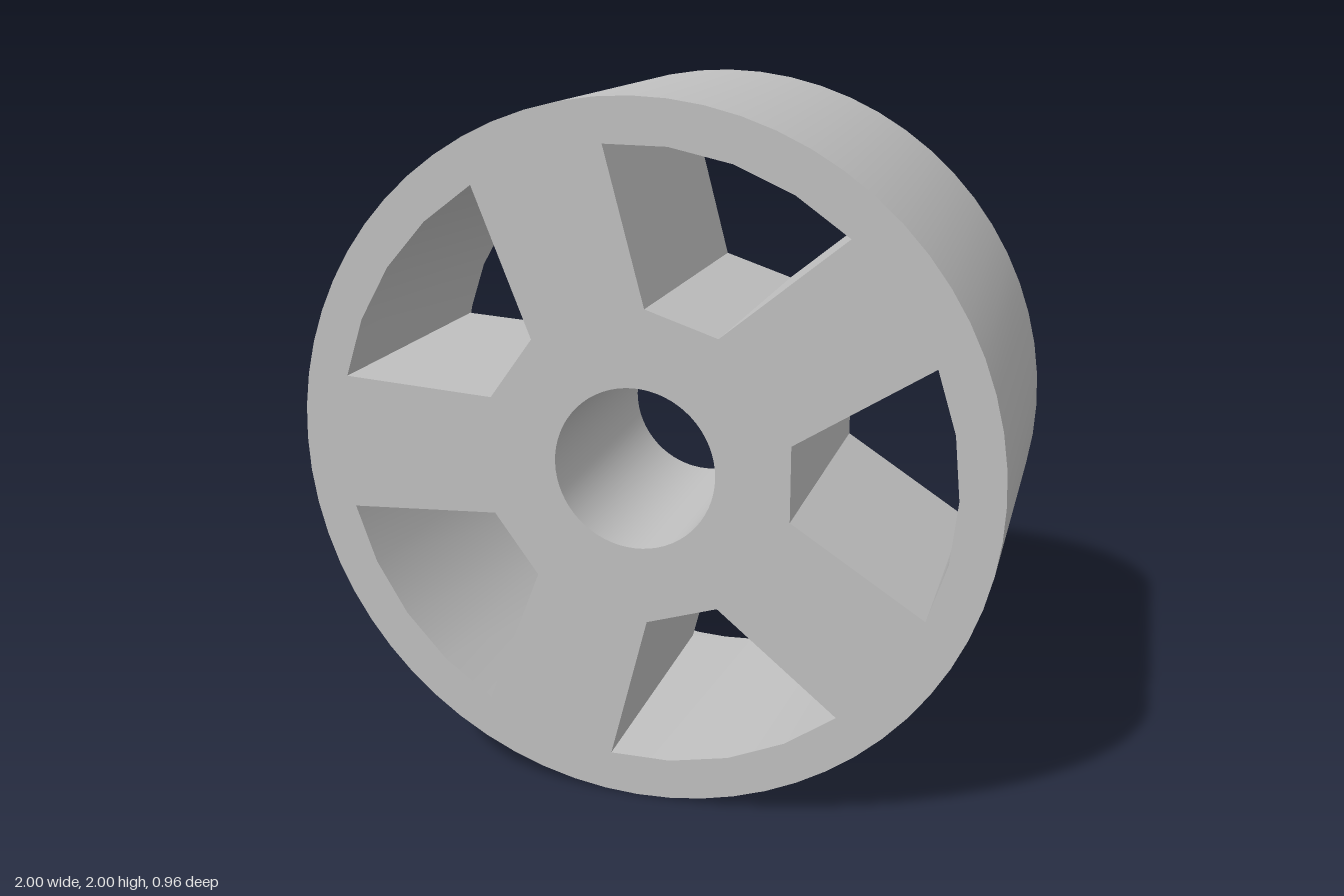
import * as THREE from 'three';
import { toCreasedNormals } from 'three/addons/utils/BufferGeometryUtils.js';

const SEGMENTS = 64;
const SPOKES = 5;
const FRONT = 0.48, BACK = -0.48;     // rim edges
const WEB_BACK = -0.35;               // recessed rear face of the spokes
const SEAT = -0.235;                  // floor of the hub counterbore
const RIM_R = 1, RECESS_R = 0.93, SEAT_R = 0.35, BORE_R = 0.23;

const polar = (r, a) => new THREE.Vector2(r * Math.cos(a), r * Math.sin(a));

function circle(r) {
  return Array.from({ length: SEGMENTS }, (_, i) => polar(r, (i / SEGMENTS) * Math.PI * 2));
}

// Counter-clockwise outline of one opening between spokes
function windowOutline(index) {
  const points = [new THREE.Vector2(0.437, -0.107)];
  const half = THREE.MathUtils.degToRad(23.1);
  for (let i = 0; i <= 4; i++) points.push(polar(0.88, half * (i / 2 - 1)));
  points.push(new THREE.Vector2(0.437, 0.107));
  const angle = (index / SPOKES) * Math.PI * 2;
  return points.map((p) => p.rotateAround(new THREE.Vector2(), angle));
}

// Flat disc pierced by the central hole and the openings
function discFace(outer, inner, windows) {
  const shape = new THREE.Shape(circle(outer));
  for (const hole of [circle(inner), ...windows]) shape.holes.push(new THREE.Path(hole));
  return new THREE.ShapeGeometry(shape);
}

// Surface of revolution around the z axis, from [radius, z] pairs
function turned(profile) {
  const points = profile.map(([r, z]) => new THREE.Vector2(r, z));
  const geometry = new THREE.LatheGeometry(points, SEGMENTS).rotateX(Math.PI / 2);
  return toCreasedNormals(geometry, Math.PI / 5);
}

// Inward-facing walls of one opening
function windowWalls(outline) {
  const positions = [];
  outline.forEach((a, i) => {
    const b = outline[(i + 1) % outline.length];
    const af = [a.x, a.y, FRONT], ab = [a.x, a.y, WEB_BACK];
    const bf = [b.x, b.y, FRONT], bb = [b.x, b.y, WEB_BACK];
    positions.push(...af, ...bf, ...bb, ...af, ...bb, ...ab);
  });
  const geometry = new THREE.BufferGeometry();
  geometry.setAttribute('position', new THREE.Float32BufferAttribute(positions, 3));
  return toCreasedNormals(geometry, Math.PI / 9);
}

export function createModel() {
  const wheel = new THREE.Group();
  wheel.name = 'wheel';
  const metal = new THREE.MeshStandardMaterial({ color: 0xc0c0c0 });
  metal.name = 'grey metal';

  const add = (name, geometry) => {
    const mesh = new THREE.Mesh(geometry, metal);
    mesh.name = name;
    mesh.position.y = RIM_R;
    wheel.add(mesh);
  };

  const windows = Array.from({ length: SPOKES }, (_, i) => windowOutline(i));

  // Tread, rear lip and wall of the rear recess
  add('rim', turned([[RECESS_R, WEB_BACK], [RECESS_R, BACK], [RIM_R, BACK], [RIM_R, FRONT]]));

  // Axle bore with a counterbore at the rear
  add('hubBore', turned([[BORE_R, FRONT], [BORE_R, SEAT], [SEAT_R, SEAT], [SEAT_R, WEB_BACK]]));

  // Spoke faces
  add('frontFace', discFace(RIM_R, BORE_R, windows).translate(0, 0, FRONT));
  add('rearFace', discFace(RECESS_R, SEAT_R, windows).rotateX(Math.PI).translate(0, 0, WEB_BACK));

  // Through openings between the spokes
  windows.forEach((outline, i) => add(`spokeOpening${i + 1}`, windowWalls(outline)));

  return wheel;
}
